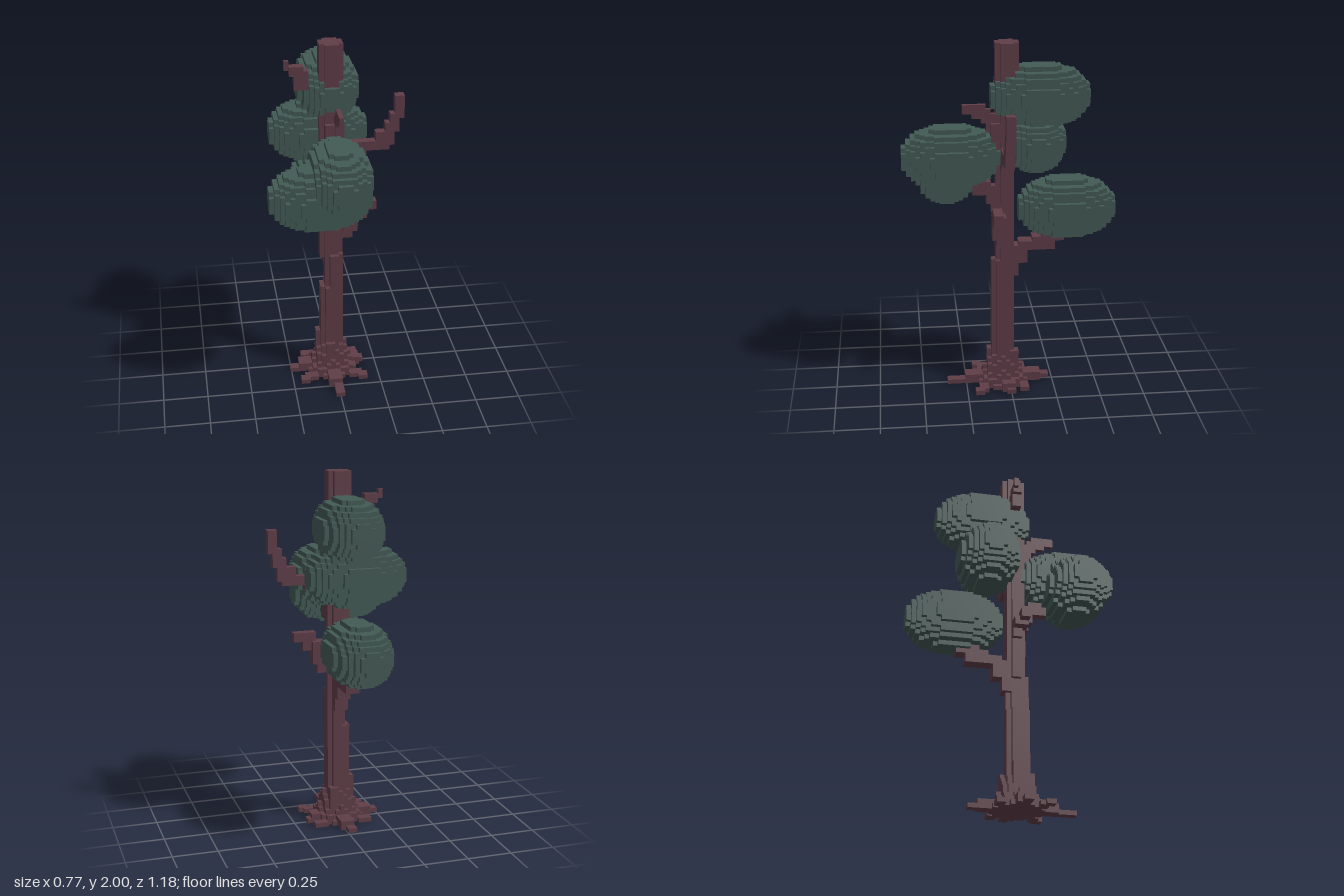
import * as THREE from 'three';

const V = 2 / 78; // size of one voxel

const wood = new THREE.MeshStandardMaterial({ color: 0x5f3d47 });
wood.name = 'bark';
const leaf = new THREE.MeshStandardMaterial({ color: 0x435a55 });
leaf.name = 'foliage';

// Calls add(x, y, z) for each cell of a box [x0, x1, y0, y1, z0, z1]
function eachCell([x0, x1, y0, y1, z0, z1], add) {
  for (let x = x0; x < x1; x++)
    for (let y = y0; y < y1; y++)
      for (let z = z0; z < z1; z++) add(x, y, z);
}

// A set of filled cells, turned into a mesh of its outer faces
class Voxels {
  cells = new Map();
  add = (x, y, z) => this.cells.set(`${x},${y},${z}`, [x, y, z]);

  boxes(list) {
    list.forEach((b) => eachCell(b, this.add));
    return this;
  }

  // Box whose four vertical edges are cut off
  column(b) {
    const [x0, x1, , , z0, z1] = b;
    eachCell(b, (x, y, z) => {
      const corner = (x === x0 || x === x1 - 1) && (z === z0 || z === z1 - 1);
      if (!corner) this.add(x, y, z);
    });
    return this;
  }

  // Slightly squared ellipsoid filling the box
  blob(b) {
    const c = [0, 2, 4].map((i) => (b[i] + b[i + 1]) / 2);
    const r = [0, 2, 4].map((i) => (b[i + 1] - b[i]) / 2);
    eachCell(b, (...p) => {
      const d = p.reduce((s, v, i) => s + Math.abs((v + 0.5 - c[i]) / r[i]) ** 2.2, 0);
      if (d <= 1) this.add(...p);
    });
    return this;
  }

  // Round disc of one layer
  disc(y, cx, cz, r) {
    const n = Math.ceil(r);
    eachCell([-n - 2, n + 2, y, y + 1, -n - 2, n + 4], (x, yy, z) => {
      if (Math.hypot(x + 0.5 - cx, z + 0.5 - cz) <= r) this.add(x, yy, z);
    });
    return this;
  }

  mesh(name, material) {
    const pos = [];
    const nor = [];
    for (const p of this.cells.values()) {
      for (let a = 0; a < 3; a++) {
        for (const s of [-1, 1]) {
          const q = [...p];
          q[a] += s;
          if (this.cells.has(q.join())) continue;
          const u = (a + 1) % 3;
          const w = (a + 2) % 3;
          const ring = [[0, 0], [1, 0], [1, 1], [0, 1]].map(([i, j]) => {
            const k = [...p];
            k[a] += s > 0 ? 1 : 0;
            k[u] += i;
            k[w] += j;
            return k.map((v) => v * V);
          });
          if (s < 0) ring.reverse();
          const n = [0, 0, 0];
          n[a] = s;
          for (const i of [0, 1, 2, 0, 2, 3]) {
            pos.push(...ring[i]);
            nor.push(...n);
          }
        }
      }
    }
    const g = new THREE.BufferGeometry();
    g.setAttribute('position', new THREE.Float32BufferAttribute(pos, 3));
    g.setAttribute('normal', new THREE.Float32BufferAttribute(nor, 3));
    const m = new THREE.Mesh(g, material);
    m.name = name;
    return m;
  }
}

export function createModel() {
  const tree = new THREE.Group();
  tree.name = 'tree';

  // Trunk, shifting slightly as it rises
  const trunk = new Voxels()
    .column([-3, 2, 0, 22, -1, 4])
    .column([-2, 2, 20, 30, -1, 4])
    .column([-3, 2, 29, 72, -1, 3])
    .column([-3, 2, 71, 78, -2, 3]);
  tree.add(trunk.mesh('trunk', wood));

  // Flared base with roots spreading over the ground
  const roots = new Voxels();
  [5.6, 5, 4.4, 4.1, 3.7, 3.4, 3].forEach((r, y) => roots.disc(y, -0.5, 1.5, r));
  roots.boxes([
    [-4, -2, 0, 10, 0, 2], [-2, 0, 0, 8, 3, 5], [0, 2, 0, 8, -2, 0],
    [-1, 1, 0, 1, 6, 14], [-2, 1, 0, 2, 6, 10], // front
    [-2, 0, 0, 1, -9, -3], [-2, 1, 0, 2, -7, -3], // back
    [-10, -5, 0, 1, 1, 3], [-8, -5, 0, 2, 0, 3], // right
    [4, 7, 0, 1, -1, 1], [4, 6, 0, 2, -1, 2], // left
    [3, 6, 0, 1, 5, 7], [5, 7, 0, 1, 6, 8], // diagonals
    [-7, -4, 0, 1, 5, 7], [-8, -6, 0, 1, 6, 8],
    [3, 6, 0, 1, -4, -2], [-7, -4, 0, 1, -4, -2],
  ]);
  tree.add(roots.mesh('roots', wood));

  // Branches, each a stepped run of boxes
  const branches = {
    leftLimb: [
      [1, 4, 51, 54, 0, 2], [3, 7, 53, 56, 0, 2], [5, 12, 54, 56, 0, 2],
      [9, 13, 55, 58, 0, 2], [11, 13, 56, 60, 0, 2], [12, 14, 58, 62, 0, 2],
      [13, 15, 61, 66, 0, 2],
    ],
    upperRightTwig: [
      [-5, -2, 66, 69, -1, 1], [-8, -5, 68, 72, -1, 1],
      [-9, -6, 71, 73, -1, 1], [-10, -9, 72, 74, -1, 0], [-10, -8, 72, 73, -1, 0],
    ],
    frontTwig: [
      [-2, 2, 57, 61, 2, 4], [0, 1, 59, 63, 3, 5],
      [0, 1, 61, 64, 4, 6], [0, 1, 63, 65, 5, 10], [0, 1, 62, 63, 5, 8],
    ],
    lowerLeftBranch: [
      [1, 4, 34, 39, 1, 3], [2, 5, 36, 41, 1, 4],
      [4, 7, 39, 43, 2, 4], [6, 9, 41, 43, 2, 4],
    ],
    lowerRightBranch: [
      [-4, -2, 38, 41, 0, 2], [-6, -3, 40, 42, 0, 3], [-8, -5, 41, 43, 1, 3],
    ],
    lowerFrontBranch: [
      [-1, 1, 41, 45, 2, 4], [-1, 1, 43, 47, 3, 5], [-1, 1, 45, 48, 4, 8],
    ],
    backBranch: [
      [-2, 1, 26, 31, -2, 0], [-2, 1, 29, 33, -4, -1],
      [-2, 1, 32, 34, -8, -2], [-2, 1, 32, 35, -10, -5], [-2, 1, 34, 36, -12, -7],
    ],
    upperBackBranch: [[-2, 1, 52, 56, -4, 0], [-2, 1, 64, 68, -4, 0]],
  };
  for (const [name, list] of Object.entries(branches)) {
    tree.add(new Voxels().boxes(list).mesh(name, wood));
  }

  // Foliage clumps
  const clumps = {
    topFoliage: [-7, 6, 60, 73, -17, 4],
    middleFoliage: [-13, 8, 50, 63, -12, 1],
    frontFoliage: [-7, 6, 47, 60, 2, 23],
    frontRightFoliage: [-15, 6, 43, 56, 7, 20],
    backFoliage: [-7, 6, 35, 48, -23, -2],
  };
  for (const [name, box] of Object.entries(clumps)) {
    tree.add(new Voxels().blob(box).mesh(name, leaf));
  }

  return tree;
}
